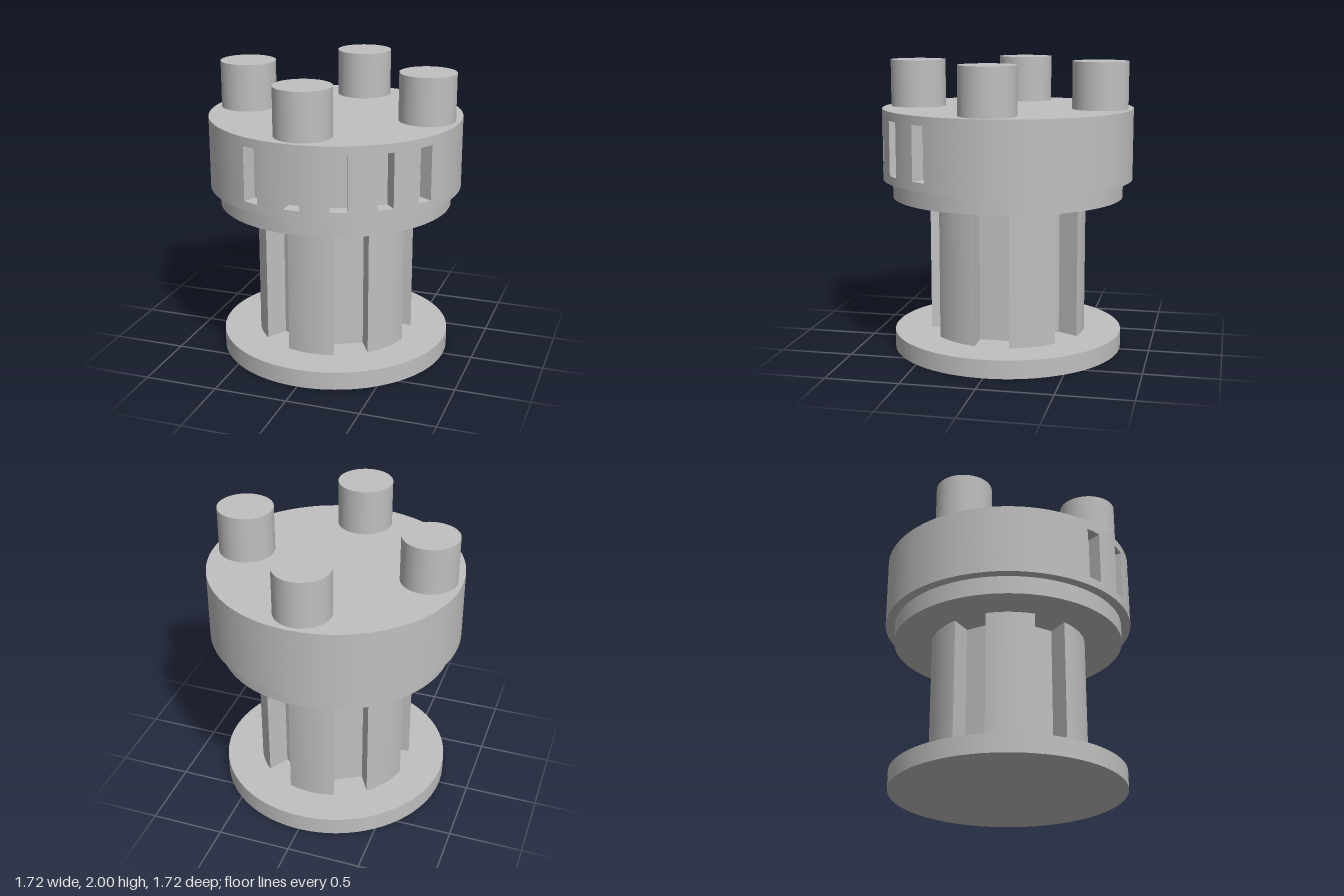
import * as THREE from 'three';
import { toCreasedNormals } from 'three/addons/utils/BufferGeometryUtils.js';

const rad = THREE.MathUtils.degToRad;

// Disc outline with straight-walled, flat-floored slots cut into its rim.
// Angles are in degrees from +z towards +x, in rising order.
function slottedShape(radius, slotAngles, halfWidth, floor) {
  const points = [];
  const half = Math.asin(halfWidth / radius);
  const add = (a, r) => points.push(new THREE.Vector2(Math.sin(a) * r, -Math.cos(a) * r));
  slotAngles.forEach((deg, i) => {
    const a = rad(deg);
    const next = rad(i + 1 < slotAngles.length ? slotAngles[i + 1] : slotAngles[0] + 360);
    // slot floor corners
    const innerRadius = Math.hypot(floor, halfWidth);
    const innerHalf = Math.atan2(halfWidth, floor);
    add(a - innerHalf, innerRadius);
    add(a + innerHalf, innerRadius);
    // rim arc up to the next slot
    const from = a + half, to = next - half;
    const steps = Math.max(2, Math.ceil((to - from) / rad(3)));
    for (let s = 0; s <= steps; s++) add(from + ((to - from) * s) / steps, radius);
  });
  return new THREE.Shape(points);
}

export function createModel() {
  const model = new THREE.Group();
  const grey = new THREE.MeshStandardMaterial({ color: 0xc0c0c0 });
  grey.name = 'grey';

  const addMesh = (name, geometry, x, y, z) => {
    const mesh = new THREE.Mesh(geometry, grey);
    mesh.name = name;
    mesh.position.set(x, y, z);
    model.add(mesh);
  };
  const disc = (name, radius, y0, y1, x = 0, z = 0) =>
    addMesh(name, new THREE.CylinderGeometry(radius, radius, y1 - y0, 120), x, (y0 + y1) / 2, z);
  const slotted = (name, shape, y0, y1) => {
    const geometry = new THREE.ExtrudeGeometry(shape, { depth: y1 - y0, bevelEnabled: false });
    geometry.rotateX(-Math.PI / 2);
    addMesh(name, toCreasedNormals(geometry, rad(20)), 0, y0, 0);
  };

  // Base and ribbed column
  disc('base', 0.795, 0, 0.125);
  slotted('ribbedColumn', slottedShape(0.54, [30, 90, 150, 210, 270, 330], 0.117, 0.37), 0.125, 1.07);
  disc('collar', 0.795, 1.07, 1.195);

  // Drum: plain bands above and below a band with five windows
  disc('drumLowerBand', 0.86, 1.195, 1.255);
  slotted('drumSlottedBand', slottedShape(0.86, [-20, 0, 20, 40, 60], 0.055, 0.76), 1.255, 1.62);
  disc('drumUpperBand', 0.86, 1.62, 1.68);

  // Four studs on the top
  for (let i = 0; i < 4; i++) {
    const a = (i * Math.PI) / 2;
    disc('stud', 0.19, 1.68, 2, Math.sin(a) * 0.637, Math.cos(a) * 0.637);
  }
  return model;
}
